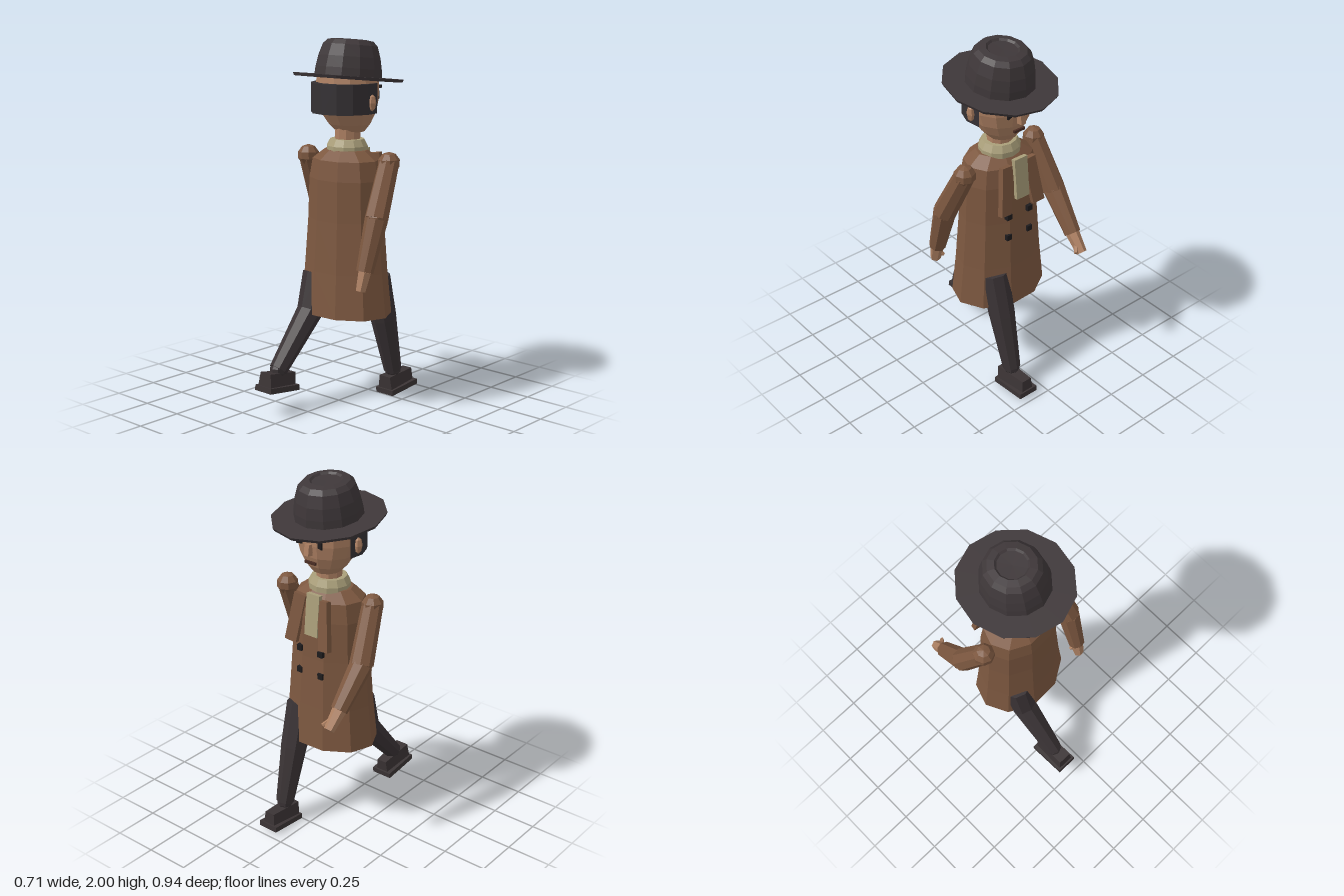
import * as THREE from 'three';

const V = (x, y, z) => new THREE.Vector3(x, y, z);

function material(name, color) {
  const m = new THREE.MeshStandardMaterial({ color, flatShading: true });
  m.name = name;
  return m;
}

export function createModel() {
  const root = new THREE.Group();
  root.name = 'walkingMan';
  const coat = material('coatBrown', 0x7d5840);
  const skin = material('skin', 0xad8062);
  const cream = material('scarfCream', 0xaa9f7a);
  const felt = material('hatCharcoal', 0x3e3739);
  const hairMat = material('hairDark', 0x353134);
  const cloth = material('trouserDark', 0x3a3335);
  const leather = material('shoeDark', 0x3b3435);
  const ink = material('featureBlack', 0x1d1b1d);
  const lip = material('mouthBrown', 0x4a2d24);

  function add(name, geometry, mat, parent = root, pos = [0, 0, 0], rot = [0, 0, 0]) {
    const mesh = new THREE.Mesh(geometry, mat);
    mesh.name = name;
    mesh.position.set(...pos);
    mesh.rotation.set(...rot);
    parent.add(mesh);
    return mesh;
  }
  const box = (w, h, d) => new THREE.BoxGeometry(w, h, d);

  // Turned shape squashed along z
  function turned(points, sides, zScale, turn = 0) {
    const g = new THREE.LatheGeometry(points.map(([r, y]) => new THREE.Vector2(r, y)), sides);
    return g.rotateY(turn).scale(1, 1, zScale);
  }

  // Tapered limb from a to b
  function limb(name, a, b, ra, rb, mat, sides = 8) {
    const g = new THREE.CylinderGeometry(rb, ra, a.distanceTo(b), sides);
    const mesh = add(name, g, mat);
    mesh.position.copy(a).lerp(b, 0.5);
    mesh.quaternion.setFromUnitVectors(V(0, 1, 0), b.clone().sub(a).normalize());
    return mesh;
  }
  function joint(name, p, r, mat) {
    add(name, new THREE.SphereGeometry(r, 8, 5), mat, root, p.toArray());
  }

  // Long coat, closed at the hem
  add('coat', turned([[0, 0.51], [0.276, 0.51], [0.25, 0.75], [0.228, 1.03], [0.22, 1.25],
    [0.2, 1.355], [0.13, 1.405], [0, 1.41]], 10, 0.77, 0.367), coat, root, [0, 0, -0.058]);

  // Lapels and two rows of buttons
  for (const s of [1, -1]) {
    add(s > 0 ? 'leftLapel' : 'rightLapel', box(0.07, 0.27, 0.03), coat, root,
      [s * 0.095, 1.245, -0.228], [0.13, s * 0.15, s * 0.14]);
    for (const y of [1.075, 0.945]) {
      add('button', box(0.032, 0.032, 0.03), ink, root, [s * 0.07, y, -0.225]);
    }
  }

  // Scarf, its hanging end, and neck
  add('scarf', turned([[0.06, 1.39], [0.115, 1.395], [0.115, 1.425], [0.095, 1.462], [0.06, 1.462]],
    12, 0.95), cream, root, [0, 0, -0.068]);
  add('scarfEnd', box(0.085, 0.23, 0.025), cream, root, [-0.015, 1.285, -0.222], [0.1, 0, 0]);
  add('neck', new THREE.CylinderGeometry(0.07, 0.07, 0.14, 10), skin, root, [0, 1.47, -0.07]);

  // Head with a narrowing chin set slightly forward
  const headGeometry = turned([[0, 1.49], [0.08, 1.5], [0.115, 1.54], [0.15, 1.6], [0.171, 1.67],
    [0.173, 1.76], [0.165, 1.82], [0, 1.82]], 12, 0.95, Math.PI / 12);
  const hp = headGeometry.attributes.position;
  for (let i = 0; i < hp.count; i++) {
    hp.setZ(i, hp.getZ(i) - Math.max(0, 1.65 - hp.getY(i)) * 0.16);
  }
  add('head', headGeometry, skin, root, [0, 0, -0.069]);

  // Hair wrapping the back of the head
  const wrap = Math.PI * 220 / 180;
  add('hair', new THREE.CylinderGeometry(0.183, 0.183, 0.16, 8, 1, false, -wrap / 2, wrap),
    hairMat, root, [0, 1.685, -0.05]);

  // Face, looking toward -z
  for (const s of [1, -1]) {
    add('ear', new THREE.SphereGeometry(0.045, 6, 4).scale(0.45, 1, 0.55), skin, root,
      [s * 0.182, 1.665, -0.06]);
    add('eye', box(0.034, 0.045, 0.009), ink, root, [s * 0.068, 1.69, -0.226], [0, s * 0.3, 0]);
    add('eyebrow', box(0.06, 0.016, 0.016), ink, root, [s * 0.068, 1.735, -0.227], [0, s * 0.3, 0]);
  }
  add('nose', box(0.03, 0.06, 0.035), skin, root, [0, 1.65, -0.236], [0.15, 0, 0]);
  add('mouth', box(0.07, 0.014, 0.012), lip, root, [0, 1.575, -0.222]);

  // Brimmed hat, tipped toward the face
  const hat = new THREE.Group();
  hat.name = 'hat';
  hat.position.set(0, 1.788, -0.072);
  hat.rotation.x = -0.105;
  root.add(hat);
  add('brim', new THREE.CylinderGeometry(0.292, 0.285, 0.016, 12).rotateY(0.04).scale(1, 1, 1.08),
    felt, hat);
  add('crown', turned([[0.18, 0], [0.176, 0.05], [0.165, 0.11], [0.145, 0.172], [0.122, 0.196],
    [0.085, 0.202], [0.075, 0.192], [0, 0.19]], 12, 1.05, 0.04), felt, hat);

  // Arms: shoulder, elbow, wrist, fingertips, thumb tip
  const arms = {
    left: [V(0.262, 1.35, -0.105), V(0.292, 1.07, 0.03), V(0.285, 0.8, 0.113),
      V(0.28, 0.7, 0.14), V(0.255, 0.73, 0.1)],
    right: [V(-0.262, 1.35, -0.04), V(-0.298, 1.07, -0.175), V(-0.288, 0.87, -0.345),
      V(-0.285, 0.785, -0.425), V(-0.242, 0.8, -0.425)],
  };
  for (const [side, [shoulder, elbow, wrist, tip, thumb]] of Object.entries(arms)) {
    joint(side + 'Shoulder', shoulder, 0.06, coat);
    limb(side + 'UpperSleeve', shoulder, elbow, 0.056, 0.064, coat);
    joint(side + 'Elbow', elbow, 0.061, coat);
    limb(side + 'LowerSleeve', elbow, wrist, 0.062, 0.046, coat);
    limb(side + 'Hand', wrist, tip, 0.038, 0.029, skin, 6);
    limb(side + 'Thumb', wrist.clone().lerp(tip, 0.3), thumb, 0.014, 0.011, skin, 5);
  }

  // Legs: hip, knee, ankle; the left strides forward
  const legs = {
    left: [V(0.12, 0.7, -0.172), V(0.12, 0.45, -0.238), V(0.12, 0.13, -0.323)],
    right: [V(-0.12, 0.72, 0.045), V(-0.12, 0.52, 0.1), V(-0.12, 0.235, 0.355)],
  };
  for (const [side, [hip, knee, ankle]] of Object.entries(legs)) {
    limb(side + 'Thigh', hip, knee, 0.078, 0.073, cloth);
    joint(side + 'Knee', knee, 0.071, cloth);
    limb(side + 'Shin', knee, ankle, 0.072, 0.05, cloth);
    joint(side + 'Ankle', ankle, 0.046, cloth);
  }

  // Shoes: flat sole with an upper that tapers to the toe
  const upperGeometry = box(0.095, 0.075, 0.2);
  const up = upperGeometry.attributes.position;
  for (let i = 0; i < up.count; i++) {
    if (up.getZ(i) < 0) {
      up.setX(i, up.getX(i) * 0.78);
      if (up.getY(i) > 0) up.setY(i, 0.03);
    }
    if (up.getY(i) > 0) up.setX(i, up.getX(i) * 0.8);
  }
  for (const [side, pos, tilt] of [['left', [0.12, 0.025, -0.36], 0.09],
    ['right', [-0.12, 0.14, 0.361], -0.13]]) {
    const shoe = new THREE.Group();
    shoe.name = side + 'Shoe';
    shoe.position.set(...pos);
    shoe.rotation.x = tilt;
    root.add(shoe);
    add('sole', box(0.12, 0.03, 0.22), leather, shoe);
    add('upper', upperGeometry, leather, shoe, [0, 0.05, 0]);
  }
  return root;
}
